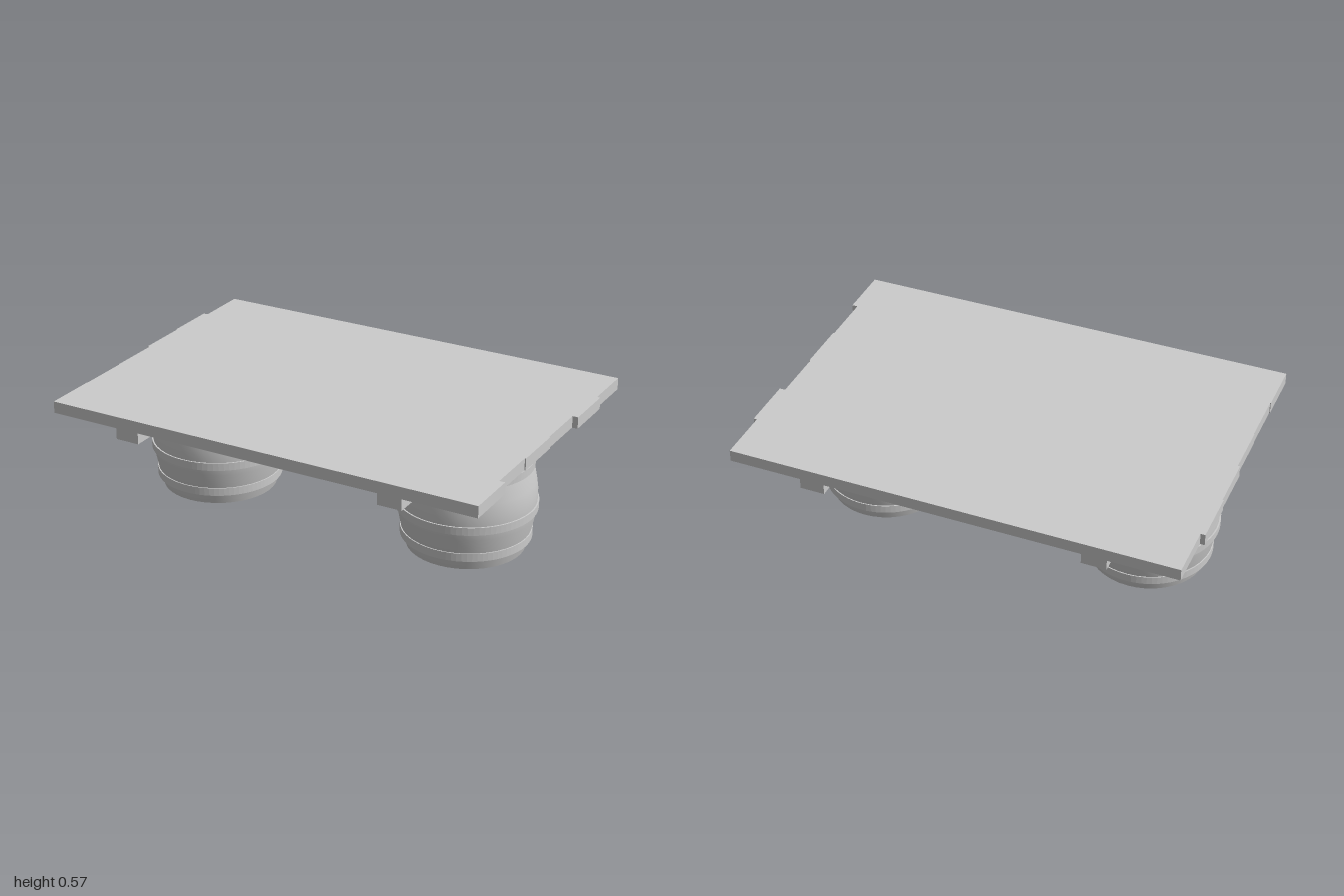
import * as THREE from 'three';

export function createModel() {
  const raft = new THREE.Group();
  raft.name = 'barrelRaft';
  const grey = new THREE.MeshStandardMaterial({ color: 0xcccccc });
  grey.name = 'plain grey';

  const add = (parent, name, geometry, x, y, z) => {
    const mesh = new THREE.Mesh(geometry, grey);
    mesh.name = name;
    mesh.position.set(x, y, z);
    parent.add(mesh);
    return mesh;
  };

  // Deck planks, back to front, with uneven ends [left end, right end]
  const ends = [
    [-0.98, 0.985], [-1, 1], [-0.995, 0.975],
    [-0.985, 0.98], [-0.982, 0.975], [-0.985, 1],
  ];
  const depth = 0.235;
  ends.forEach(([a, b], i) => {
    add(raft, 'deckPlank', new THREE.BoxGeometry(b - a, 0.052, depth),
      (a + b) / 2, 0.541, (i - 2.5) * depth);
  });

  // Bulging barrel body with flat lids
  const profile = [new THREE.Vector2(0, 0)];
  const rings = [[0.255, 0], [0.269, 0.05], [0.278, 0.09], [0.29, 0.15], [0.297, 0.2],
    [0.297, 0.26], [0.29, 0.31], [0.278, 0.37], [0.269, 0.41], [0.255, 0.46]];
  const side = new THREE.LatheGeometry(rings.map(([r, y]) => new THREE.Vector2(r, y)), 40);
  const lid = new THREE.CircleGeometry(0.255, 40);

  // Flat hoop with a rectangular section
  const hoop = (r, y0, y1) => {
    const inner = r - 0.02;
    const shape = new THREE.Shape().absarc(0, 0, r, 0, Math.PI * 2);
    shape.holes.push(new THREE.Path().absarc(0, 0, inner, 0, Math.PI * 2, true));
    return new THREE.ExtrudeGeometry(shape, { depth: y1 - y0, bevelEnabled: false, curveSegments: 40 })
      .rotateX(-Math.PI / 2).translate(0, y0, 0);
  };
  const hoops = [[0.281, 0.048, 0.084], [0.303, 0.18, 0.215], [0.281, 0.376, 0.411]]
    .map((h) => hoop(...h));

  // Each barrel carries one cross beam
  for (const x of [-0.62, 0.615]) {
    const barrel = new THREE.Group();
    barrel.name = 'barrel';
    barrel.position.x = x;
    raft.add(barrel);
    add(barrel, 'barrelSide', side, 0, 0, 0);
    add(barrel, 'barrelTop', lid, 0, 0.46, 0).rotation.x = -Math.PI / 2;
    add(barrel, 'barrelBottom', lid, 0, 0, 0).rotation.x = Math.PI / 2;
    hoops.forEach((g) => add(barrel, 'barrelHoop', g, 0, 0, 0));
    add(raft, 'crossBeam', new THREE.BoxGeometry(0.108, 0.055, 1.39), x, 0.4875, 0);
  }
  return raft;
}
